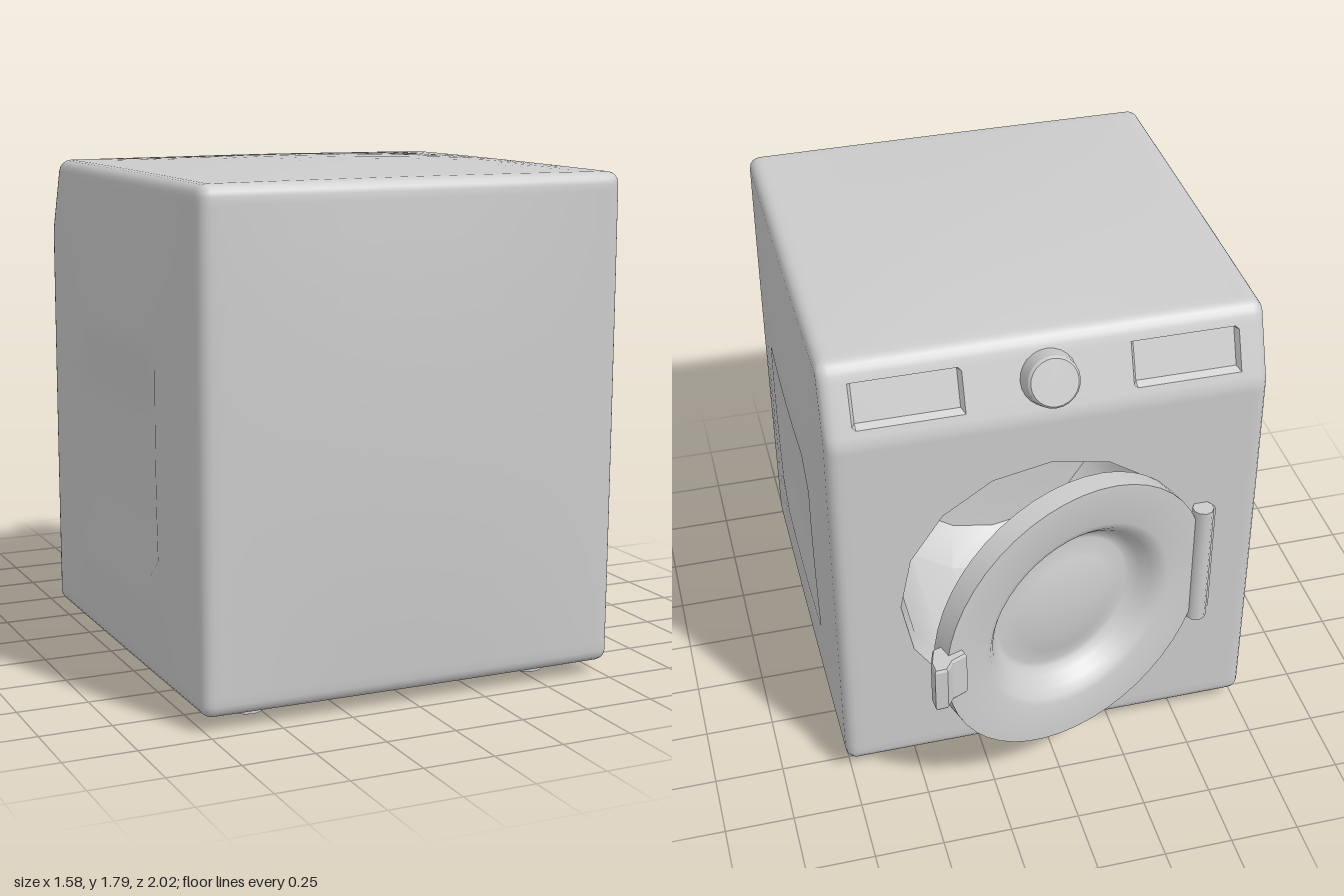
import * as THREE from 'three';
import { toCreasedNormals } from 'three/addons/utils/BufferGeometryUtils.js';

const clamp = THREE.MathUtils.clamp;
const LO = [-0.765, 0.05, -0.578], HI = [0.765, 1.765, 0.97], R = 0.04;
const DOOR_Y = 0.77, HOLE = 0.54;
const mirror = (list) => [...list.map((v) => -v), ...list];

// Grid lines per axis: rounded-edge lines plus the lines that features need
const lines = [
  [0, ...mirror([0.15, 0.29, 0.302, 0.45, 0.57, 0.658, 0.67, 0.7])],
  [0.12, 0.2, 0.3, 0.4, 0.49, 0.65, 0.8, 0.92, 1.04, 1.14, 1.24, 1.34, 1.44, 1.47, 1.5, 1.53, 1.55, 1.562, 1.688, 1.7],
  [-0.5, -0.42, -0.3, -0.2, -0.1, 0.05, 0.2, 0.35, 0.5, 0.6, 0.75, 0.85, 0.9],
].map((mid, a) => {
  const edge = [0, 1, 2].map((k) => R * (1 - Math.tan((Math.PI / 4) * (1 - k / 2))));
  return [...edge.map((e) => LO[a] + e), ...mid, ...edge.map((e) => HI[a] - e)].sort((p, q) => p - q);
});

// Moves a point of the plain box onto the rounded, bulged, chamfered cabinet
function shapeCabinet(p) {
  const q = p.map((v, a) => clamp(v, LO[a] + R, HI[a] - R));
  const d = p.map((v, a) => v - q[a]);
  const len = Math.hypot(...d);
  const r = q.map((v, a) => v + (d[a] / len) * R);
  const n = r.map((v, a) => (2 * v - LO[a] - HI[a]) / (HI[a] - LO[a]));
  const f = n.map((v) => 1 - v * v);
  let x = r[0] + 0.027 * n[0] * f[1] * f[2];
  const y = r[1] + 0.027 * n[1] * f[0] * f[2];
  let z = r[2] + 0.03 * Math.max(0, n[2]) * f[0] * f[1];
  // pressed rectangle in both sides
  if (p[0] === LO[0] || p[0] === HI[0]) {
    const inset = Math.min((p[1] - 0.4) / 0.09, (1.14 - p[1]) / 0.1, (p[2] + 0.2) / 0.1, (0.6 - p[2]) / 0.1);
    x -= Math.sign(x) * 0.028 * clamp(inset, 0, 1);
  }
  // sloped control strip
  if (z < 0) z *= 1 - 0.18 * clamp((y - 1.5) / 0.265, 0, 1);
  // sunken display trays
  const ax = Math.abs(p[0]);
  if (p[2] === LO[2] && ax > 0.3 && ax < 0.66 && p[1] > 1.56 && p[1] < 1.69) z += 0.022;
  return [x, y, z];
}

function cabinetGeometry() {
  const pos = [];
  for (let a = 0; a < 3; a++) {
    const u = (a + 1) % 3, v = (a + 2) % 3;
    for (const plus of [true, false]) {
      const corner = (cu, cv) => {
        const p = [0, 0, 0];
        p[a] = plus ? HI[a] : LO[a];
        p[u] = cu;
        p[v] = cv;
        return shapeCabinet(p);
      };
      for (let i = 0; i < lines[u].length - 1; i++) {
        for (let j = 0; j < lines[v].length - 1; j++) {
          const [u0, u1, v0, v1] = [lines[u][i], lines[u][i + 1], lines[v][j], lines[v][j + 1]];
          // leave room for the door surround
          if (a === 2 && !plus && Math.abs(u0 + u1) < 1.14 && v0 + v1 > 0.4 && v0 + v1 < 2.68) continue;
          const [A, B, C, D] = [corner(u0, v0), corner(u1, v0), corner(u1, v1), corner(u0, v1)];
          if (plus) pos.push(...A, ...B, ...C, ...A, ...C, ...D);
          else pos.push(...A, ...C, ...B, ...A, ...D, ...C);
        }
      }
    }
  }
  const g = new THREE.BufferGeometry();
  g.setAttribute('position', new THREE.Float32BufferAttribute(pos, 3));
  return toCreasedNormals(g, 0.6);
}

const lathe = (pts, seg) => new THREE.LatheGeometry(pts.map(([x, y]) => new THREE.Vector2(x, y)), seg);

export function createModel() {
  const model = new THREE.Group();
  const mat = new THREE.MeshStandardMaterial({ color: 0xcccccc });
  const thin = new THREE.MeshStandardMaterial({ color: 0xcccccc, side: THREE.DoubleSide });
  const add = (parent, name, geo, x = 0, y = 0, z = 0, m = mat) => {
    const mesh = new THREE.Mesh(geo, m);
    mesh.name = name;
    mesh.position.set(x, y, z);
    parent.add(mesh);
    return mesh;
  };

  add(model, 'cabinet', cabinetGeometry());

  // Flat surround with the round opening
  const surround = new THREE.Shape([[-0.57, 0.2], [0.57, 0.2], [0.57, 1.34], [-0.57, 1.34]].map(([x, y]) => new THREE.Vector2(x, y)));
  surround.holes.push(new THREE.Path().absarc(0, DOOR_Y, HOLE, 0, Math.PI * 2, true));
  add(model, 'doorSurround', new THREE.ShapeGeometry(surround, 8).rotateY(Math.PI), 0, 0, LO[2], thin);

  // Drum behind the opening
  const drum = lathe([[HOLE, 0], [0.52, 0.08], [0.52, 0.7], [0.42, 0.85], [0, 0.88]], 16).rotateX(Math.PI / 2);
  add(model, 'drum', toCreasedNormals(drum, 0.6), 0, DOOR_Y, LO[2], thin);

  // Control knob, square to the sloped strip
  const knob = add(model, 'knob', toCreasedNormals(lathe([[0.105, -0.07], [0.09, 0.045], [0.082, 0.055], [0, 0.055]], 24), 0.5), 0, 1.635, -0.55);
  knob.quaternion.setFromUnitVectors(new THREE.Vector3(0, 1, 0), new THREE.Vector3(0, 0.36, -0.93).normalize());

  // Feet
  for (const x of [-0.54, 0.54])
    for (const z of [-0.38, 0.78]) add(model, 'foot', new THREE.CylinderGeometry(0.055, 0.055, 0.07, 16), x, 0.035, z);

  // Door, standing ajar on its hinge
  const door = new THREE.Group();
  door.name = 'door';
  door.position.set(-0.05, DOOR_Y, -0.78);
  door.rotation.y = Math.PI + 0.323;
  model.add(door);
  const profile = [
    [0, -0.19], [0.27, -0.19], [0.3, -0.18], [0.33, -0.15], [0.355, -0.115], [0.38, -0.095], [0.41, -0.085],
    [0.54, -0.085], [0.54, 0], [0.385, 0], [0.36, -0.01], [0.335, -0.035], [0.31, -0.07], [0.285, -0.095],
    [0.265, -0.1], [0.2, -0.08], [0.1, -0.064], [0, -0.06],
  ];
  add(door, 'doorPanel', toCreasedNormals(lathe(profile, 48).rotateX(Math.PI / 2), 0.62));

  // Door handle
  const grip = new THREE.Shape([[-0.48, 0.02], [-0.535, 0.025], [-0.57, 0.05], [-0.605, 0.04], [-0.595, 0], [-0.56, -0.05], [-0.53, -0.05], [-0.48, -0.02]].map(([x, z]) => new THREE.Vector2(x, -z)));
  const gripGeo = new THREE.ExtrudeGeometry(grip, { depth: 0.16, bevelThickness: 0.01, bevelSize: 0.005, bevelSegments: 1 });
  add(door, 'handle', gripGeo.translate(0, 0, -0.08).rotateX(-Math.PI / 2));

  // Hinge rod and its mounting plate
  add(model, 'hingeRod', toCreasedNormals(new THREE.CylinderGeometry(0.038, 0.038, 0.5, 10), 0.7), -0.55, DOOR_Y, -0.607);
  add(model, 'hingePlate', new THREE.BoxGeometry(0.06, 0.46, 0.04), -0.57, DOOR_Y, -0.58);

  return model;
}
